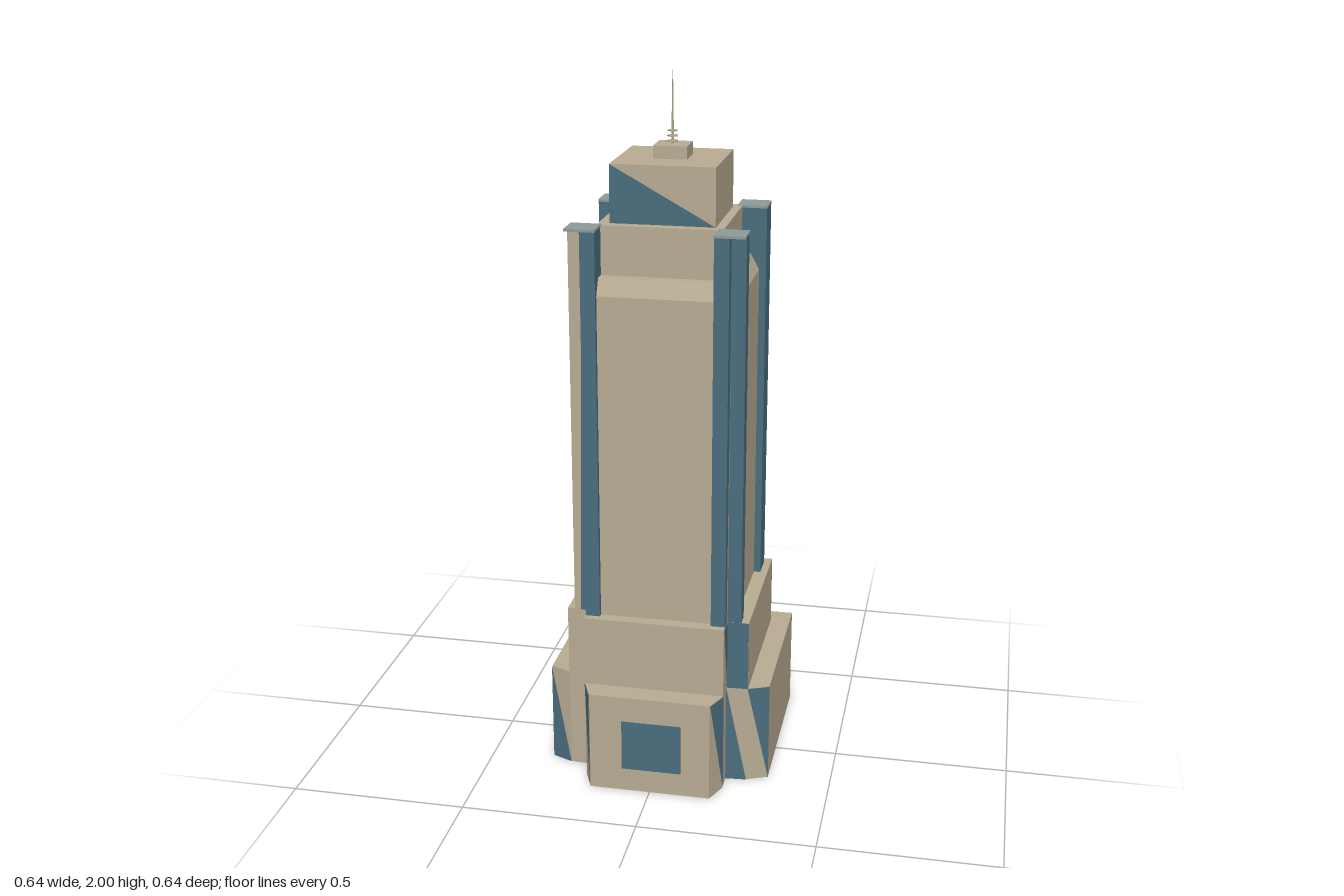
import * as THREE from 'three';

export function createModel() {
  const model = new THREE.Group();
  const mat = (name, color) => {
    const m = new THREE.MeshStandardMaterial({ color, side: THREE.DoubleSide });
    m.name = name;
    return m;
  };
  const stone = mat('stone', 0xb8ab92);
  const blue = mat('blue glass', 0x4a6d7e);
  const capGrey = mat('cap grey', 0x8d9a98);

  const add = (name, geometry, material, x = 0, y = 0, z = 0) => {
    const mesh = new THREE.Mesh(geometry, material);
    mesh.name = name;
    mesh.position.set(x, y, z);
    model.add(mesh);
    return mesh;
  };

  // Box given by its limits
  const block = (name, material, x0, x1, y0, y1, z0, z1) =>
    add(name, new THREE.BoxGeometry(x1 - x0, y1 - y0, z1 - z0), material,
      (x0 + x1) / 2, (y0 + y1) / 2, (z0 + z1) / 2);

  // Upright prism over an [x, z] outline, optionally narrowed at the top
  const prism = (name, material, outline, y0, y1, topScale = 1) => {
    const shape = new THREE.Shape(outline.map(([x, z]) => new THREE.Vector2(x, -z)));
    const g = new THREE.ExtrudeGeometry(shape, { depth: y1 - y0, bevelEnabled: false });
    g.rotateX(-Math.PI / 2);
    const p = g.attributes.position;
    for (let i = 0; i < p.count; i++) {
      if (p.getY(i) > (y1 - y0) / 2) p.setXYZ(i, p.getX(i) * topScale, p.getY(i), p.getZ(i) * topScale);
    }
    g.computeVertexNormals();
    return add(name, g, material, 0, y0, 0);
  };

  // Painted triangle lying just outside a wall, corners counter-clockwise
  const panel = (name, material, ...corners) => {
    const [a, b, c] = corners.map((q) => new THREE.Vector3(...q));
    const n = new THREE.Triangle(a, b, c).getNormal(new THREE.Vector3()).multiplyScalar(0.002);
    const g = new THREE.BufferGeometry().setFromPoints([a, b, c].map((q) => q.add(n)));
    g.computeVertexNormals();
    return add(name, g, material);
  };

  // Completes an outline from its +x half, running back to front
  const mirrored = (half) => [...half, ...half.slice().reverse().map(([x, z]) => [-x, z])];

  // Stepped base with projecting entrance
  const A = [0.32, 0.17], B = [0.26, 0.195], C = [0.2, 0.2], D = [0.2, 0.255], E = [0.173, 0.319];
  prism('base', stone, mirrored([[0.32, -0.32], A, B, C, D, E]), 0, 0.295);
  prism('podium', stone, mirrored([[0.262, -0.26], [0.262, 0.197], C, D]), 0.295, 0.5);
  block('entranceWindow', blue, -0.08, 0.09, 0.07, 0.22, 0.318, 0.322);

  // Diagonal glass on the base corners
  const lo = ([x, z], s = 1) => [x * s, 0, z];
  const hi = ([x, z], s = 1) => [x * s, 0.294, z];
  panel('baseGlass', blue, lo(A), hi(A), hi(B));
  panel('baseGlass', blue, lo(C), lo(B), hi(C));
  panel('baseGlass', blue, lo(D), hi(D), hi(E));
  panel('baseGlass', blue, lo(A, -1), lo(B, -1), hi(A, -1));
  panel('baseGlass', blue, lo(E, -1), hi(E, -1), hi(D, -1));

  // Glass on the podium corners and back
  panel('podiumGlass', blue, [0.2, 0.295, 0.2], [0.262, 0.295, 0.197], [0.262, 0.5, 0.197]);
  panel('podiumGlass', blue, [0.2, 0.295, 0.2], [0.262, 0.5, 0.197], [0.2, 0.5, 0.2]);
  panel('podiumGlass', blue, [0.2, 0.295, 0.2], [0.2, 0.5, 0.2], [0.2, 0.5, 0.255]);
  panel('podiumBackGlass', blue, [0.262, 0.295, -0.26], [-0.262, 0.295, -0.26], [0.262, 0.5, -0.26]);

  // Shaft with notched corners, sloping shoulder and upper storey
  const cross = mirrored([[0.18, -0.22], [0.18, -0.18], [0.221, -0.18], [0.221, 0.18], [0.18, 0.18], [0.18, 0.22]]);
  prism('shaft', stone, cross, 0.5, 1.43);
  prism('shoulder', stone, cross, 1.43, 1.475, 0.89);
  block('upperStorey', stone, -0.171, 0.171, 1.475, 1.61, -0.174, 0.165);
  panel('upperGlass', blue, [-0.171, 1.475, -0.155], [-0.171, 1.475, 0.155], [-0.171, 1.53, 0.155]);

  // Corner piers: square at the back, notched at the front
  for (const s of [-1, 1]) {
    const side = s > 0 ? 'left' : 'right';
    const x0 = s > 0 ? 0.159 : -0.241;
    block(side + 'BackPier', blue, x0, x0 + 0.082, 0.5, 1.605, -0.235, -0.156);
    const plan = [[0.159, 0.156], [0.24, 0.156], [0.24, 0.2], [0.2, 0.2], [0.2, 0.234], [0.159, 0.234]];
    prism(side + 'FrontPier', blue, s > 0 ? plan : plan.map(([x, z]) => [-x, z]).reverse(), 0.5, 1.605);
    for (const z of [-0.235, 0.155]) block('pierCap', capGrey, x0 - 0.001, x0 + 0.083, 1.605, 1.612, z, z + 0.08);
  }

  // Stone slivers inside the front notches
  panel('notchStone', stone, [0.2, 0.5, 0.222], [0.2, 0.5, 0.204], [0.2, 1.4, 0.204]);
  panel('notchStone', stone, [-0.24, 0.5, 0.2], [-0.222, 0.5, 0.2], [-0.24, 1.605, 0.2]);
  panel('notchStone', stone, [-0.222, 0.5, 0.2], [-0.203, 1.605, 0.2], [-0.24, 1.605, 0.2]);

  // Crown with a diagonal of glass on its front
  block('crown', stone, -0.139, 0.147, 1.61, 1.77, -0.14, 0.14);
  panel('crownGlass', blue, [-0.139, 1.612, 0.14], [0.147, 1.612, 0.14], [-0.139, 1.77, 0.14]);
  block('mastBase', stone, -0.041, 0.051, 1.77, 1.805, -0.045, 0.044);

  // Mast and its rings
  add('mast', new THREE.CylinderGeometry(0.001, 0.004, 0.195, 5).toNonIndexed(), stone, 0.004, 1.9025, 0);
  for (const [y, r] of [[1.812, 0.017], [1.826, 0.016], [1.84, 0.014]]) {
    add('mastRing', new THREE.CylinderGeometry(r, r, 0.003, 5), stone, 0.004, y, 0);
  }
  return model;
}
